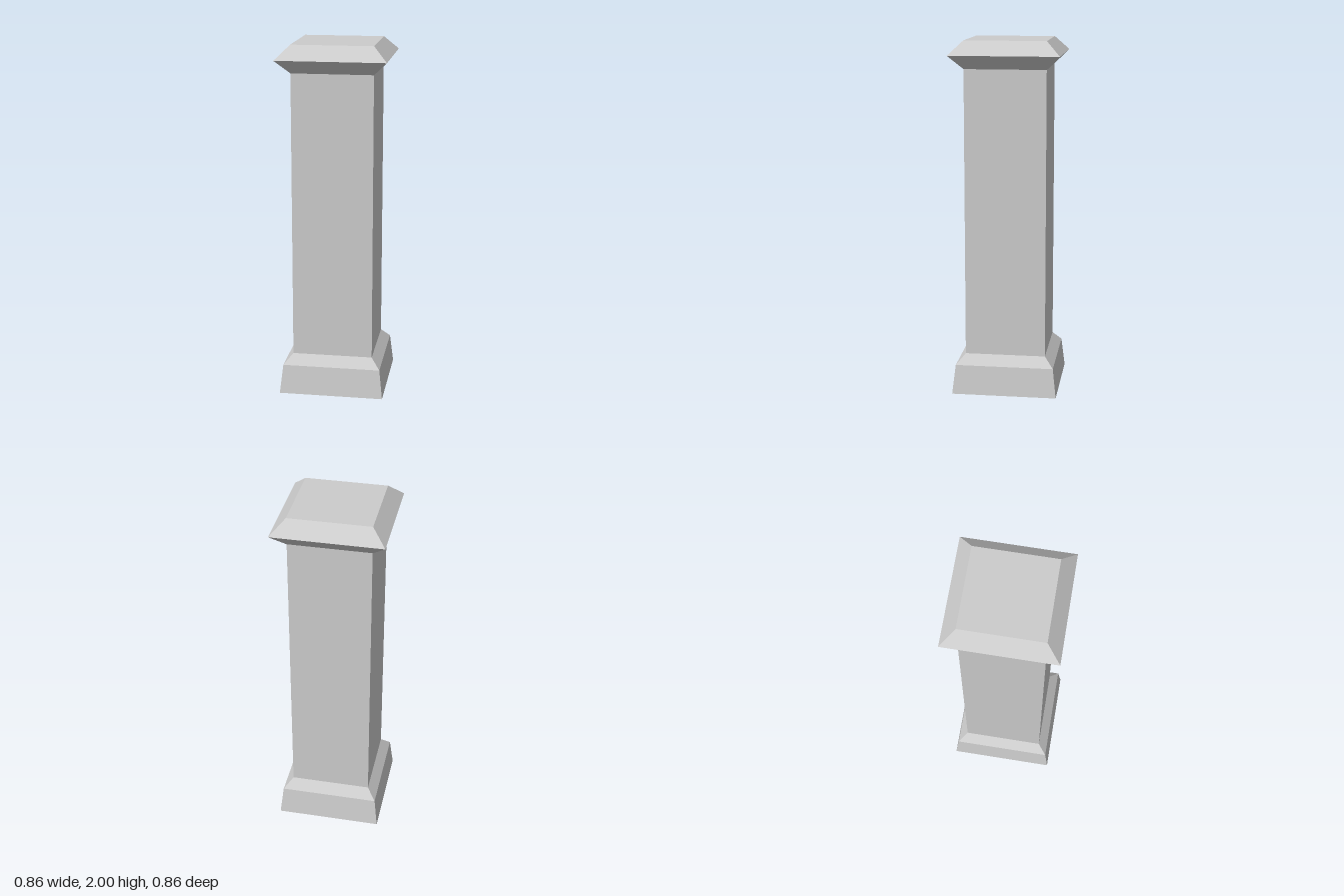
import * as THREE from 'three';

export function createModel() {
  const model = new THREE.Group();
  model.name = 'pillar';

  const stone = new THREE.MeshStandardMaterial({ color: 0xcccccc });
  stone.name = 'pale grey stone';
  stone.flatShading = true;
  stone.side = THREE.DoubleSide; // hollow shell, open underneath

  const SHAFT_RADIUS = 0.322;
  const BASE_TOP = 0.223;
  const CAP_BOTTOM = 1.845;

  // Four-sided turned part with corners on the x and z axes; profile is [radius, height]
  function addPart(name, profile) {
    const points = profile.map(([r, y]) => new THREE.Vector2(r, y));
    const mesh = new THREE.Mesh(new THREE.LatheGeometry(points, 4), stone);
    mesh.name = name;
    model.add(mesh);
  }

  // Tapered plinth with a sloped shoulder, open at the bottom
  addPart('base', [[0.42, 0], [0.393, 0.167], [SHAFT_RADIUS, BASE_TOP]]);

  // Straight square shaft
  addPart('shaft', [[SHAFT_RADIUS, BASE_TOP], [SHAFT_RADIUS, CAP_BOTTOM]]);

  // Overhanging cap, bevelled above and below, with a flat top
  addPart('cap', [[SHAFT_RADIUS, CAP_BOTTOM], [0.432, 1.922], [SHAFT_RADIUS, 2], [0, 2]]);

  return model;
}
